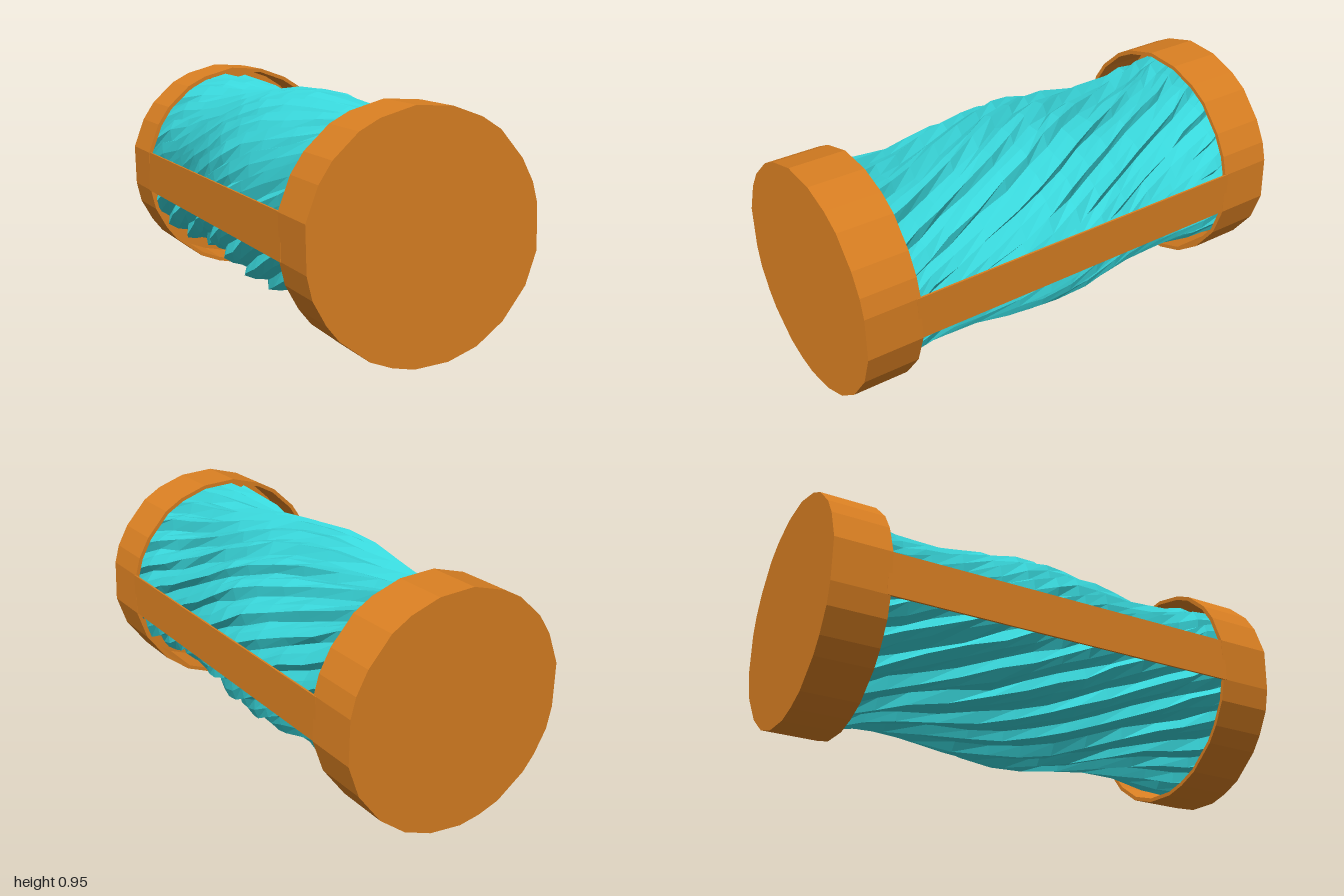
import * as THREE from 'three';

const CY = 0.475; // height of the long axis

// Slightly irregular outline of the end caps
const OUTLINE = [
  [0.47, 0.39], [0.465, 0.57], [0.443, 0.65], [0.395, 0.74], [0.33, 0.815], [0.3, 0.85],
  [0.22, 0.9], [0.1, 0.943], [-0.05, 0.953], [-0.19, 0.915], [-0.27, 0.873], [-0.37, 0.78],
  [-0.422, 0.7], [-0.47, 0.57], [-0.465, 0.39], [-0.443, 0.3], [-0.39, 0.205], [-0.34, 0.143],
  [-0.22, 0.052], [-0.13, 0.018], [-0.04, 0], [0.1, 0.01], [0.22, 0.053], [0.33, 0.135], [0.425, 0.26],
];

function outlinePoints(scale) {
  return OUTLINE.map(([x, y]) => new THREE.Vector2(x * scale, CY + (y - CY) * scale));
}

function seeded(seed) {
  return () => {
    seed = (seed * 16807) % 2147483647;
    return seed / 2147483647;
  };
}

// Pleated, twisted sleeve that swells in the middle and at both ends
function coreGeometry() {
  const half = [[0, 0.453], [0.12, 0.448], [0.25, 0.432], [0.4, 0.412], [0.55, 0.402], [0.66, 0.408], [0.77, 0.428], [0.97, 0.44]];
  const rings = [...half.slice(1).reverse().map(([z, r]) => [-z, r]), ...half];
  const pleats = 22, twist = -1.08, depth = 0.036;
  const profile = [[0, 0], [0.38, 0.4], [0.76, 1]]; // ridge, slope, valley
  const n = pleats * profile.length;
  const rand = seeded(17);
  const pos = [], index = [];
  rings.forEach(([z, r], i) => {
    for (let j = 0; j < n; j++) {
      const [f, d] = profile[j % 3];
      const a = ((Math.floor(j / 3) + f) / pleats) * Math.PI * 2 + twist * z + (rand() - 0.5) * 0.05;
      const rad = r - d * depth - rand() * 0.01;
      pos.push(Math.cos(a) * rad, CY + Math.sin(a) * rad, z);
      if (i < rings.length - 1) {
        const k = (j + 1) % n, p = i * n, q = p + n;
        index.push(p + j, p + k, q + j, p + k, q + k, q + j);
      }
    }
  });
  const geo = new THREE.BufferGeometry();
  geo.setAttribute('position', new THREE.Float32BufferAttribute(pos, 3));
  geo.setIndex(index);
  const flat = geo.toNonIndexed();
  flat.computeVertexNormals();
  return flat;
}

export function createModel() {
  const model = new THREE.Group();
  model.name = 'cagedRoller';
  const orange = new THREE.MeshStandardMaterial({ color: 0xd97f22 });
  orange.name = 'orange';
  const teal = new THREE.MeshStandardMaterial({ color: 0x38d6da, flatShading: true });
  teal.name = 'turquoise';

  function add(name, geo, mat, parent = model) {
    const mesh = new THREE.Mesh(geo, mat);
    mesh.name = name;
    parent.add(mesh);
    return mesh;
  }

  add('twistedCore', coreGeometry(), teal);

  // End caps: a closed disc with a thin rim reaching over the core
  const rimShape = new THREE.Shape(outlinePoints(1));
  rimShape.holes.push(new THREE.Path(outlinePoints(0.965)));
  const rimGeo = new THREE.ExtrudeGeometry(rimShape, { depth: 0.215, bevelEnabled: false });
  const discGeo = new THREE.ExtrudeGeometry(new THREE.Shape(outlinePoints(1)), { depth: 0.02, bevelEnabled: false });
  for (const side of [1, -1]) {
    const cap = new THREE.Group();
    cap.name = side > 0 ? 'frontCap' : 'backCap';
    add('rim', rimGeo, orange, cap).position.z = side > 0 ? 0.765 : -0.98;
    add('disc', discGeo, orange, cap).position.z = side > 0 ? 0.98 : -1;
    model.add(cap);
  }

  // Flat straps joining the caps along both sides
  for (const side of [1, -1]) {
    const strap = add(side > 0 ? 'leftStrap' : 'rightStrap', new THREE.BoxGeometry(0.008, 0.182, 1.56), orange);
    strap.position.set(side * 0.4635, 0.48, 0);
  }

  return model;
}
